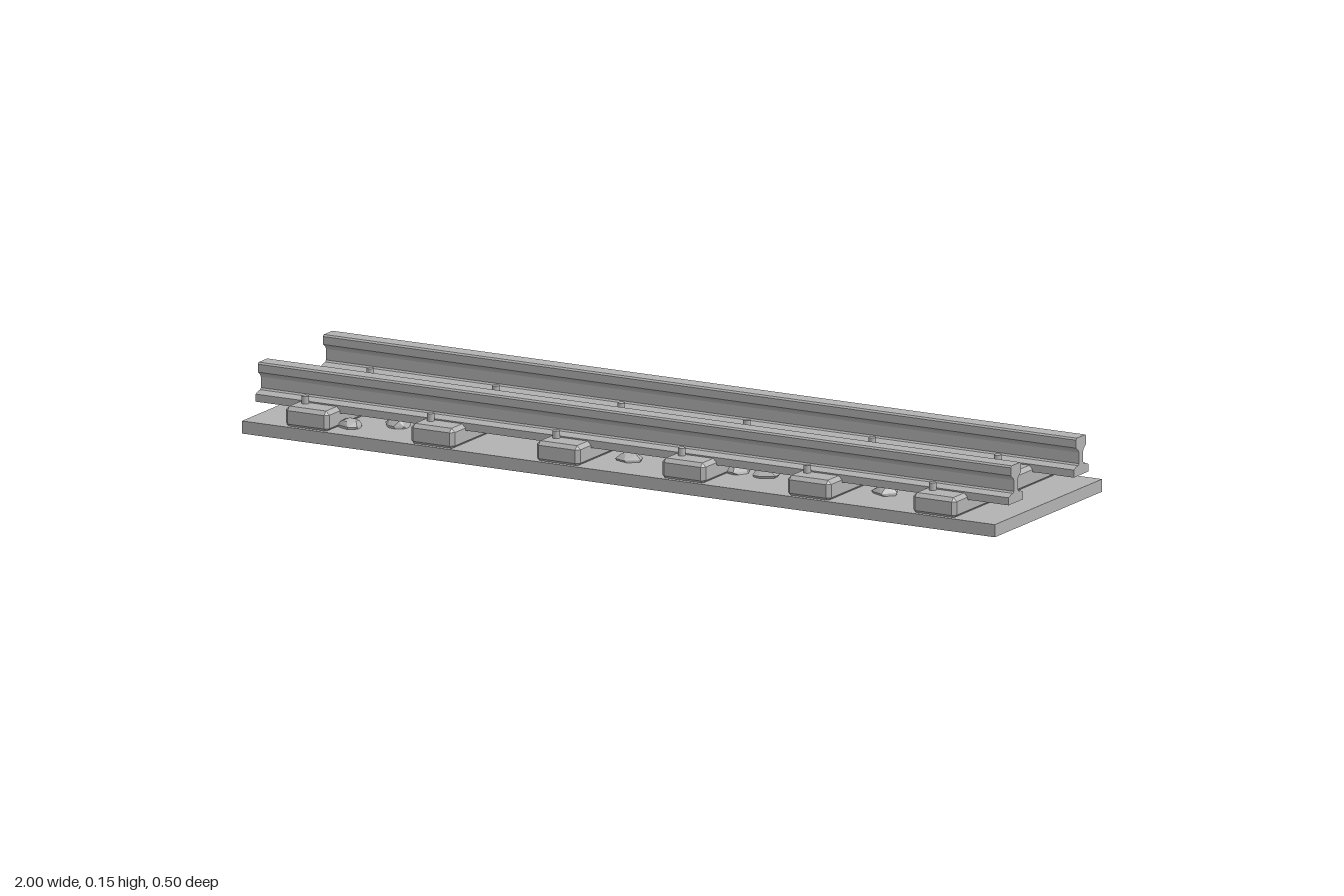
import * as THREE from 'three';
import { ConvexGeometry } from 'three/addons/geometries/ConvexGeometry.js';

const grey = new THREE.MeshStandardMaterial({ color: 0xb2b2b2 });
grey.name = 'plain grey';

function add(parent, name, geometry, x = 0, y = 0, z = 0) {
  const mesh = new THREE.Mesh(geometry, grey);
  mesh.name = name;
  mesh.position.set(x, y, z);
  parent.add(mesh);
  return mesh;
}

// Box with every edge cut at 45 degrees
function chamferedBox(w, h, d, c) {
  const points = [];
  for (const sx of [-1, 1]) for (const sy of [-1, 1]) for (const sz of [-1, 1]) {
    const x = w / 2, y = h / 2, z = d / 2;
    points.push(
      new THREE.Vector3(sx * x, sy * (y - c), sz * (z - c)),
      new THREE.Vector3(sx * (x - c), sy * y, sz * (z - c)),
      new THREE.Vector3(sx * (x - c), sy * (y - c), sz * z));
  }
  return new ConvexGeometry(points);
}

// Rail section: half outline mirrored, then extruded along x
function railGeometry(length) {
  const half = [[0.034, 0.062], [0.034, 0.08], [0.022, 0.085], [0.0135, 0.086], [0.0095, 0.09],
    [0.0095, 0.116], [0.013, 0.122], [0.024, 0.13], [0.024, 0.149], [0.02, 0.153]];
  const outline = [...half, ...half.map(([x, y]) => [-x, y]).reverse()];
  const shape = new THREE.Shape(outline.map(([x, y]) => new THREE.Vector2(x, y)));
  const geometry = new THREE.ExtrudeGeometry(shape, { depth: length, bevelEnabled: false });
  return geometry.translate(0, 0, -length / 2).rotateY(Math.PI / 2);
}

// Irregular faceted pebble, seeded so every one differs
function stoneGeometry(seed, radius, height) {
  let s = seed * 7919 + 17;
  const rand = () => (s = (s * 16807) % 2147483647) / 2147483647;
  const points = [];
  for (const [level, spread] of [[-0.3, 0.85], [0.25, 1], [0.75, 0.65]]) {
    for (let i = 0; i < 6; i++) {
      const a = (i + rand() * 0.7) * Math.PI / 3;
      const r = radius * spread * (0.82 + rand() * 0.25);
      points.push(new THREE.Vector3(Math.cos(a) * r, height * level, Math.sin(a) * r * 0.88));
    }
  }
  points.push(new THREE.Vector3(0, height, 0));
  return new ConvexGeometry(points);
}

export function createModel() {
  const model = new THREE.Group();
  model.name = 'railwayTrack';

  // Ground slab
  add(model, 'groundSlab', new THREE.BoxGeometry(2, 0.03, 0.5), 0, 0.015, 0);

  // Two rails
  const rail = railGeometry(2);
  for (const side of [-1, 1]) add(model, side > 0 ? 'frontRail' : 'backRail', rail, 0, 0, side * 0.152);

  // Sleepers with staggered bolts on both sides of each rail
  const sleeper = chamferedBox(0.115, 0.05, 0.49, 0.009);
  const bolt = new THREE.CylinderGeometry(0.009, 0.009, 0.024, 12);
  for (let i = 0; i < 6; i++) {
    const x = -0.8333 + i / 3;
    const group = new THREE.Group();
    group.name = 'sleeperAssembly';
    group.position.x = x;
    add(group, 'sleeper', sleeper, 0, 0.052, 0);
    for (const side of [-1, 1]) {
      add(group, 'outerBolt', bolt, -side * 0.03, 0.083, side * 0.195);
      add(group, 'innerBolt', bolt, side * 0.03, 0.083, side * 0.109);
    }
    model.add(group);
  }

  // Loose stones: x, z, radius, height above the slab
  const stones = [
    [-0.615, 0.06, 0.036, 0.024], [-0.66, 0.115, 0.036, 0.022], [-0.385, -0.005, 0.034, 0.022],
    [-0.755, 0.175, 0.032, 0.022], [-0.035, 0.135, 0.034, 0.022], [0.13, -0.09, 0.032, 0.02],
    [0.235, 0.11, 0.033, 0.023], [0.31, 0.11, 0.034, 0.022], [0.445, 0.01, 0.031, 0.022],
    [0.635, 0.115, 0.036, 0.024], [0.9, 0.008, 0.029, 0.025],
  ];
  stones.forEach(([x, z, r, h], i) => add(model, 'stone', stoneGeometry(i + 1, r, h), x, 0.03, z));

  return model;
}
